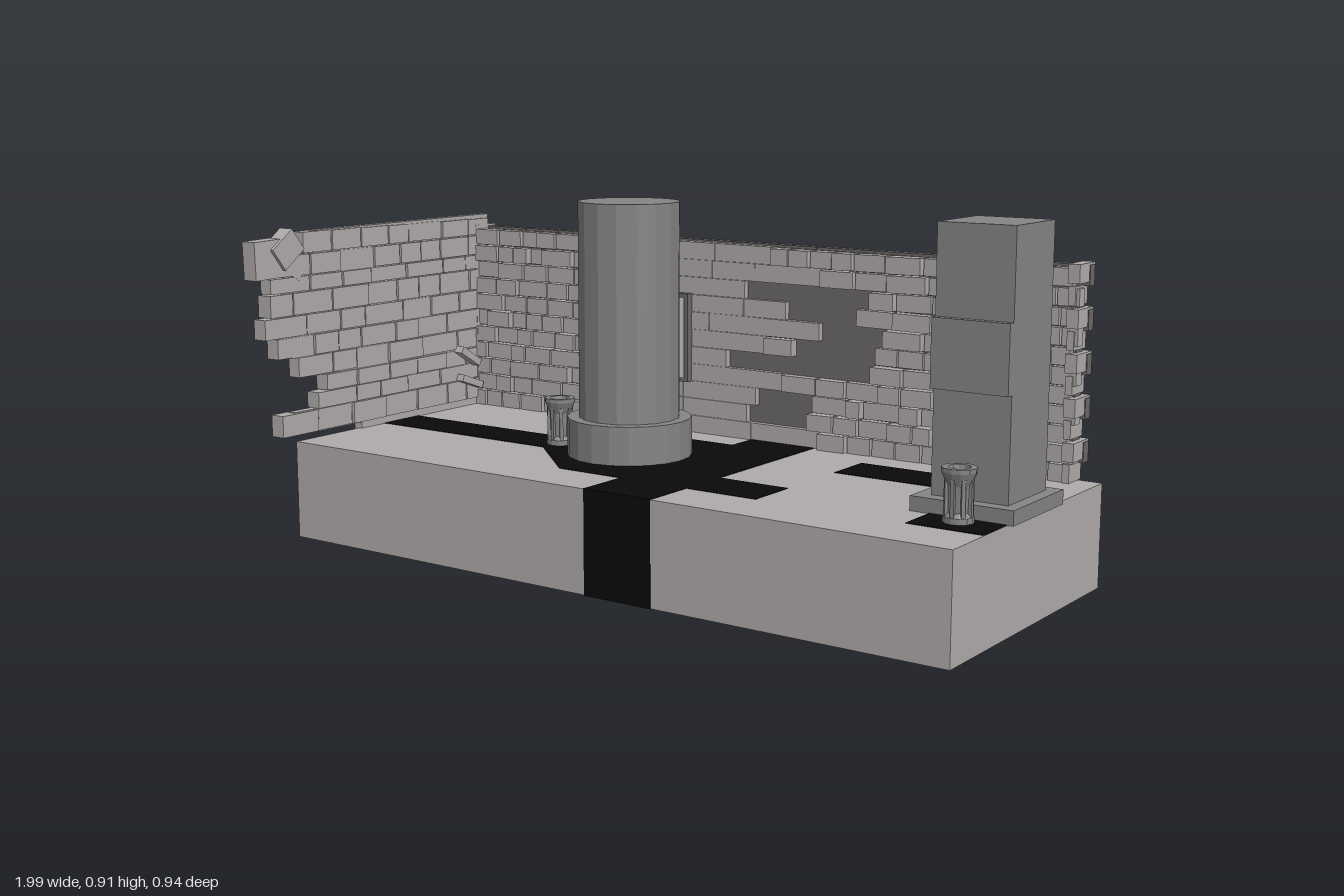
import * as THREE from 'three';

const material = (color) => new THREE.MeshStandardMaterial({ color, flatShading: true, side: THREE.DoubleSide });

export function createModel() {
  const root = new THREE.Group();
  const stone = material(0xb0abab), grey = material(0x858585), dark = material(0x6c6868);
  const black = material(0x0a0a0a), pale = material(0xcccccc);
  let seed = 7;
  const rand = () => (seed = (seed * 16807) % 2147483647) / 2147483647;
  const add = (name, geo, mat, parent = root) => {
    const m = new THREE.Mesh(geo, mat);
    m.name = name;
    parent.add(m);
    return m;
  };
  // Box given by its minimum and maximum corners
  const box = (name, mat, x0, x1, y0, y1, z0, z1, parent = root) => {
    const m = add(name, new THREE.BoxGeometry(x1 - x0, y1 - y0, z1 - z0), mat, parent);
    m.position.set((x0 + x1) / 2, (y0 + y1) / 2, (z0 + z1) / 2);
    return m;
  };
  const group = (name) => {
    const g = new THREE.Group();
    g.name = name;
    root.add(g);
    return g;
  };

  // Floor block with black walkways, slightly proud of its faces
  const F = 0.26, e = 0.0015;
  box('floorBlock', stone, -0.96, 0.98, 0, F, -0.44, 0.335);
  const paths = group('blackPaths');
  box('crossPath', black, 0.01, 0.205, 0, F + e, -0.44 - e, 0.335 + e, paths);
  box('crossPathUnderside', black, 0.01, 0.205, -e, 0.01, -0.44, 0.335, paths);
  box('leftPath', black, -0.96 - e, -0.36, 0.01, F + e, -0.125, 0.01, paths);
  box('leftPathUnderside', black, -0.96 - e, -0.46, -e, 0.012, -0.125, 0.01, paths);
  box('sidePath', black, 0.2, 0.4, 0.2, F + e, 0.05, 0.19, paths);
  box('backPatch', black, 0.4, 0.79, 0.2, F + e, -0.3, -0.165, paths);
  box('cornerPatch', black, 0.79, 0.979, 0.2, F + e, 0.05, 0.19, paths);
  const plaza = new THREE.Shape([[-0.38, 0.125], [-0.18, 0.3], [0.02, 0.3], [0.02, -0.19], [-0.18, -0.19], [-0.38, -0.01]]
    .map(([x, y]) => new THREE.Vector2(x, y)));
  const plazaGeo = new THREE.ExtrudeGeometry(plaza, { depth: 0.03, bevelEnabled: false });
  plazaGeo.rotateX(-Math.PI / 2).translate(0, F + e - 0.03, 0);
  add('plaza', plazaGeo, black, paths);

  // Round column on its plinth
  const column = group('roundColumn');
  column.position.set(-0.145, F, -0.055);
  add('columnPlinth', new THREE.CylinderGeometry(0.16, 0.16, 0.1, 20), grey, column).position.y = 0.05;
  add('columnShaft', new THREE.CylinderGeometry(0.13, 0.13, 0.65, 16), grey, column).position.y = 0.325;

  // Square pillar with a raised front panel
  const pillar = group('squarePillar');
  box('pillarPlinth', grey, 0.74, 0.995, F, 0.295, -0.18, 0.08, pillar);
  box('pillarShaft', grey, 0.775, 0.965, 0.295, 0.91, -0.15, 0.045, pillar);
  box('pillarPanel', grey, 0.775, 0.965, 0.54, 0.7, 0.04, 0.063, pillar);

  // Fluted urns
  const urnProfile = [[0, 0], [0.035, 0], [0.035, 0.015], [0.026, 0.025], [0.028, 0.085], [0.04, 0.115], [0.04, 0.125],
    [0.026, 0.125], [0.02, 0.08], [0, 0.08]].map(([r, y]) => new THREE.Vector2(r, y));
  const makeUrn = (x, z) => {
    const urn = group('urn');
    urn.position.set(x, F, z);
    add('urnBody', new THREE.LatheGeometry(urnProfile, 12), grey, urn);
    for (let i = 0; i < 8; i++) {
      const a = (i * Math.PI) / 4;
      const rib = add('urnRib', new THREE.BoxGeometry(0.009, 0.085, 0.009), grey, urn);
      rib.position.set(Math.cos(a) * 0.029, 0.058, Math.sin(a) * 0.029);
      rib.rotation.y = -a;
    }
  };
  makeUrn(-0.37, -0.05);
  makeUrn(0.88, 0.115);

  // Back wall: dark core, brick front, plank-like courses behind
  const backWall = group('backWall');
  box('wallCore', dark, -0.965, 0.915, F, 0.775, -0.447, -0.408, backWall);
  const holes = [[0.1, 0.33, 0.61, 0.67], [0.16, 0.36, 0.43, 0.6], [0, 0.1, 0.43, 0.5], [0.02, 0.15, 0.32, 0.42]];
  const courses = 11, h = 0.52 / courses;
  for (let r = 0; r < courses; r++) {
    const y = F + r * h;
    let x = -0.955;
    while (x < 0.92) {
      const smooth = x > -0.45 && x < 0.05;
      let w = smooth ? 0.13 + rand() * 0.12 : x > 0.5 ? 0.085 : 0.045 + rand() * 0.07;
      if (x + w > 0.89) w = 0.925 - x + (r % 2 ? 0.006 : -0.012);
      const cx = x + w / 2, cy = y + h / 2;
      const open = holes.some(([a, b, c, d]) => cx > a && cx < b && cy > c && cy < d);
      const gap = smooth ? 0.001 : 0.005;
      const depth = smooth ? 0.003 : x > 0.5 ? 0.004 : 0.018;
      if (!open) {
        const brick = box('frontBrick', stone, x, x + w - gap, y, y + h - gap * 0.8, -0.42, -0.392 + rand() * depth, backWall);
        if (!smooth && x < 0.5) brick.rotation.z = (rand() - 0.5) * 0.03;
      }
      x += w;
      if (x > 0.9) break;
    }
  }
  const joints = [-0.82, -0.7, -0.59, -0.36, -0.1, 0.16, 0.33, 0.56, 0.78];
  for (let r = 0; r < 10; r++) {
    const y = 0.25 + r * 0.0535;
    const ends = [r % 2 ? -0.995 : -0.965, ...joints.map((j) => j + (r % 2) * 0.02), r % 2 ? 0.935 : 0.905];
    for (let i = 0; i < ends.length - 1; i++)
      box('rearBrick', dark, ends[i], ends[i + 1] - 0.003, y, y + 0.0505, -0.462 - rand() * 0.003, -0.435, backWall);
    // Toothed corner stones at both ends
    const out = r % 2 ? 0.012 : 0;
    box('endStone', stone, 0.9, 0.918 + out, y + 0.01, y + 0.056, -0.455 - out, -0.385 + out / 2, backWall);
    box('cornerStone', stone, -0.985 - out, -0.945, y + 0.01, y + 0.056, -0.455 - out, -0.38, backWall);
  }

  // Ruined left wall: each course is [bottom, top, front end z]
  const leftWall = group('leftWall');
  const rows = [[0.28, 0.338, 0.395], [0.34, 0.383, 0.265], [0.385, 0.428, 0.23], [0.432, 0.485, 0.33], [0.488, 0.541, 0.4],
    [0.544, 0.597, 0.445], [0.6, 0.658, 0.425], [0.661, 0.7, 0.42], [0.703, 0.757, 0.42], [0.76, 0.815, 0.3]];
  box('leftWallFoot', stone, -0.978, -0.95, 0.25, 0.29, -0.44, 0.1, leftWall);
  rows.forEach(([y0, y1, end], r) => {
    box('wallCourse', stone, -0.976, -0.951, y0 - 0.003, y1 + 0.002, -0.44, end - 0.05, leftWall);
    let z = end;
    while (z > -0.43) {
      const next = Math.max(z - 0.08 - rand() * 0.07, -0.44);
      const slope = r === 9 ? (0.3 - z) * 0.015 : 0;
      box('wallBrick', stone, -0.982 - rand() * 0.008, -0.948 + rand() * 0.007, y0, y1 - slope, next + 0.004, z, leftWall);
      z = next;
    }
  });
  // Loose, tilted stones at the broken end and by the inner corner
  const loose = (x, y, z, w, hh, d, tilt) => {
    const m = add('looseStone', new THREE.BoxGeometry(w, hh, d), stone, leftWall);
    m.position.set(x, y, z);
    m.rotation.x = tilt;
  };
  loose(-0.965, 0.753, 0.415, 0.045, 0.1, 0.115, 0.03);
  loose(-0.955, 0.775, 0.365, 0.045, 0.07, 0.085, 0.65);
  loose(-0.965, 0.735, 0.34, 0.04, 0.06, 0.08, -0.5);
  loose(-0.935, 0.41, -0.325, 0.03, 0.02, 0.09, -0.55);
  loose(-0.935, 0.335, -0.33, 0.03, 0.02, 0.09, -0.35);

  // Framed panels hung on the back wall
  const framed = (x0, x1, y0, y1) => {
    const g = group('framedPanel');
    box('frame', dark, x0, x1, y0, y1, -0.4, -0.371, g);
    box('panel', pale, x0 + 0.012, x1 - 0.012, y0 + 0.012, y1 - 0.012, -0.38, -0.369, g);
  };
  framed(-0.37, -0.185, 0.4, 0.64);
  framed(0.675, 0.805, 0.445, 0.63);

  return root;
}
